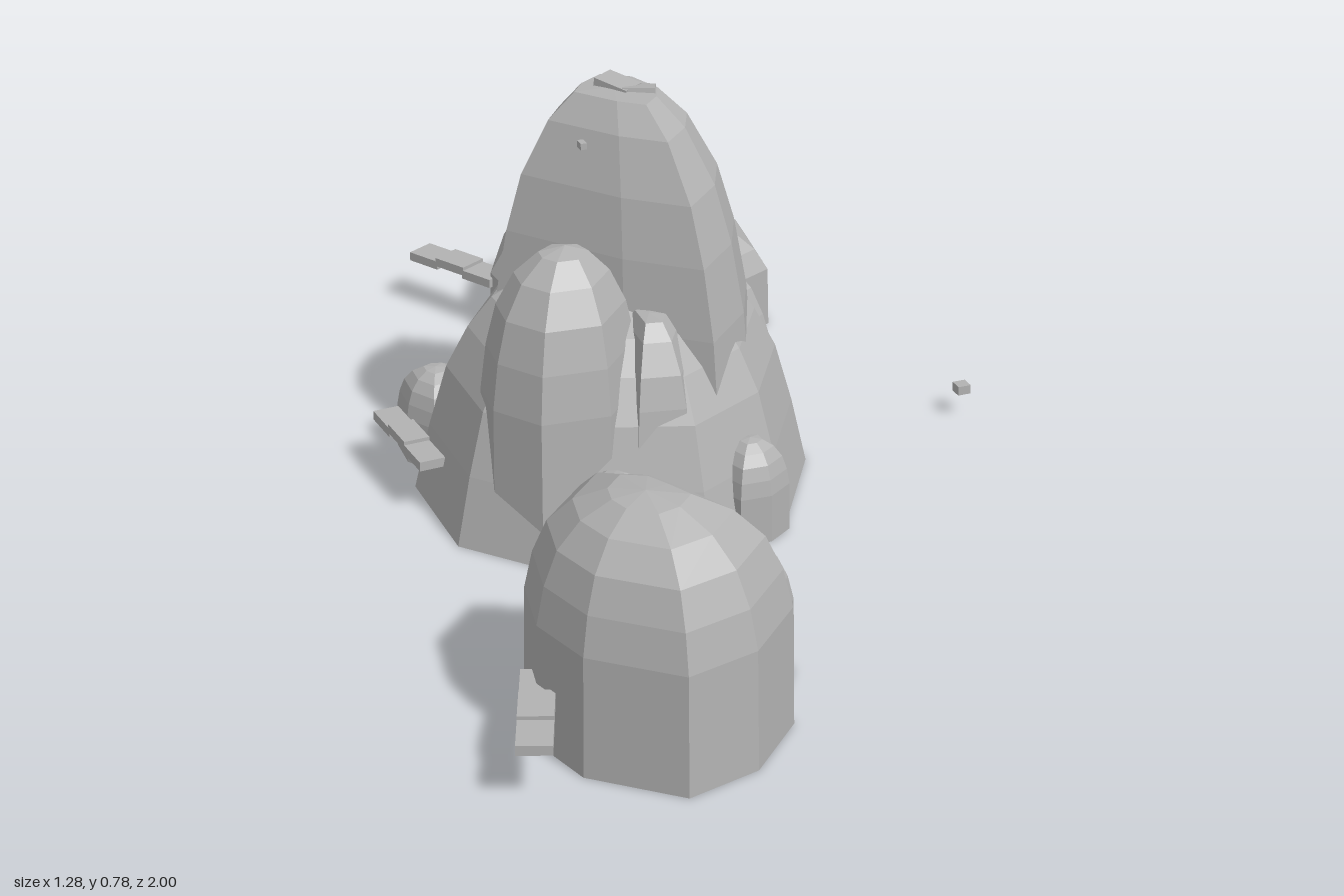
import * as THREE from 'three';

const stone = new THREE.MeshStandardMaterial({ color: 0xb2b2b2, flatShading: true, side: THREE.DoubleSide });
stone.name = 'grey stone';

// profiles: [scale of footprint, fraction of height]
const DOME = [[1, 0], [0.98, 0.5], [0.91, 0.66], [0.79, 0.8], [0.58, 0.91], [0.3, 0.98], [0, 1]];
const LOW = [[1, 0], [0.99, 0.46], [0.9, 0.62], [0.72, 0.79], [0.5, 0.91], [0.25, 0.98], [0, 1]];
const BASE = [[1, 0], [0.92, 0.3], [0.83, 0.57], [0.72, 0.75], [0.6, 0.88], [0.42, 0.97], [0, 1]];
const SPIRE = [[1, 0], [0.97, 0.27], [0.92, 0.48], [0.83, 0.65], [0.71, 0.79], [0.5, 0.92], [0.3, 0.985], [0, 0.99]];

// open-bottomed faceted rock: footprint polygon [x, z] drawn in towards a peak
function rock(name, peak, height, foot, profile) {
  const pos = [];
  const at = (p, [s, h]) => [
    peak[0] + (p[0] - peak[0]) * s, h * height, peak[1] + (p[1] - peak[1]) * s];
  for (let k = 0; k < profile.length - 1; k++) {
    for (let i = 0; i < foot.length; i++) {
      const p = foot[i], q = foot[(i + 1) % foot.length];
      const a = at(p, profile[k]), b = at(q, profile[k]);
      const c = at(p, profile[k + 1]), d = at(q, profile[k + 1]);
      pos.push(...b, ...a, ...c);
      if (profile[k + 1][0] > 0) pos.push(...b, ...c, ...d);
    }
  }
  const g = new THREE.BufferGeometry();
  g.setAttribute('position', new THREE.Float32BufferAttribute(pos, 3));
  g.computeVertexNormals();
  const m = new THREE.Mesh(g, stone);
  m.name = name;
  return m;
}

// small rounded boulder with a slightly irregular footprint
function boulder(name, x, z, rx, rz, height, turn) {
  const foot = [];
  for (let i = 0; i < 7; i++) {
    const t = turn + (i / 7) * Math.PI * 2, r = i % 2 ? 0.92 : 1.05;
    foot.push([x + Math.cos(t) * rx * r, z + Math.sin(t) * rz * r]);
  }
  return rock(name, [x, z], height, foot, DOME);
}

function block(name, size, at, turn = 0, tilt = 0) {
  const m = new THREE.Mesh(new THREE.BoxGeometry(...size), stone);
  m.name = name;
  m.position.set(...at);
  m.rotation.set(tilt, turn, 0, 'YXZ');
  return m;
}

// short stepped row of slabs between two points [x, z]
function ledge(name, from, to, y, count, width = 0.06) {
  const g = new THREE.Group();
  g.name = name;
  const dx = to[0] - from[0], dz = to[1] - from[1];
  const len = Math.hypot(dx, dz) / count;
  for (let i = 0; i < count; i++) {
    const t = (i + 0.5) / count;
    g.add(block('slab', [width, 0.018, len * 1.05],
      [from[0] + dx * t, y + (i % 2) * 0.007, from[1] + dz * t], Math.atan2(dx, dz)));
  }
  return g;
}

export function createModel() {
  const model = new THREE.Group();
  model.name = 'rockFormation';

  // central outcrop
  model.add(
    rock('centralBase', [-0.08, -0.1], 0.43, [[-0.12, -0.46], [0.07, -0.43], [0.26, -0.25],
      [0.27, -0.01], [0.14, 0.2], [-0.05, 0.3], [-0.34, 0.2], [-0.45, 0.07], [-0.45, -0.18],
      [-0.31, -0.37]], BASE),
    rock('centralSpire', [-0.07, -0.12], 0.773, [[-0.06, -0.38], [0.1, -0.27], [0.18, -0.04],
      [0.12, 0.09], [0.01, 0.2], [-0.13, 0.08], [-0.31, -0.16], [-0.22, -0.28]], SPIRE),
    rock('leftSpire', [-0.23, 0.05], 0.55, [[-0.38, 0], [-0.27, -0.07], [-0.13, -0.02],
      [-0.1, 0.09], [-0.2, 0.2], [-0.33, 0.19], [-0.39, 0.1]], DOME),
    rock('frontButtress', [-0.09, 0.1], 0.42, [[-0.15, 0.02], [-0.05, 0.02], [0.0, 0.14],
      [-0.06, 0.24], [-0.16, 0.22]], SPIRE),
    rock('sideButtress', [0.08, -0.12], 0.4, [[0.06, -0.28], [0.18, -0.25], [0.25, -0.14],
      [0.24, -0.02], [0.12, 0.06], [0, -0.05]], BASE),
    boulder('frontRightBoulder', 0.065, 0.2, 0.07, 0.072, 0.185, 0.4),
    boulder('frontLeftBoulder', -0.21, 0.23, 0.075, 0.065, 0.18, 0.9),
    boulder('backLeftBoulder', -0.365, -0.3, 0.075, 0.085, 0.18, 0.2),
    boulder('backRightBoulder', 0.175, -0.29, 0.045, 0.05, 0.17, 0.5),
    block('summitStone', [0.05, 0.02, 0.07], [-0.06, 0.763, -0.13], 0.6, 0.15),
    block('summitChip', [0.06, 0.02, 0.04], [-0.03, 0.758, -0.1], -0.4, -0.15),
    block('spireChip', [0.012, 0.012, 0.02], [-0.155, 0.688, -0.06]),
    ledge('sideLedge', [-0.45, -0.07], [-0.465, -0.3], 0.1, 3, 0.05));

  // front pair of rocks
  model.add(
    rock('frontRock', [-0.36, 0.77], 0.44, [[-0.4, 0.5], [-0.27, 0.57], [-0.2, 0.7], [-0.13, 0.85],
      [-0.24, 0.96], [-0.375, 0.995], [-0.51, 0.875], [-0.545, 0.75], [-0.52, 0.62]], DOME),
    rock('frontSmallRock', [-0.21, 0.66], 0.275, [[-0.31, 0.53], [-0.18, 0.54], [-0.06, 0.69],
      [-0.14, 0.8], [-0.28, 0.8], [-0.34, 0.66]], DOME),
    ledge('frontLedge', [-0.525, 0.71], [-0.61, 0.925], 0.104, 3));

  // low back rock
  model.add(
    rock('backRock', [0.18, -0.74], 0.265, [[0, -0.965], [0.15, -1], [0.47, -0.765],
      [0.445, -0.595], [0.3, -0.525], [0.14, -0.535], [-0.085, -0.615], [-0.09, -0.79]], LOW),
    ledge('backLedge', [-0.07, -0.79], [-0.175, -0.98], 0.104, 3));

  // lone pebble
  model.add(block('pebble', [0.026, 0.018, 0.026], [0.628, 0.056, -0.075]));
  return model;
}
